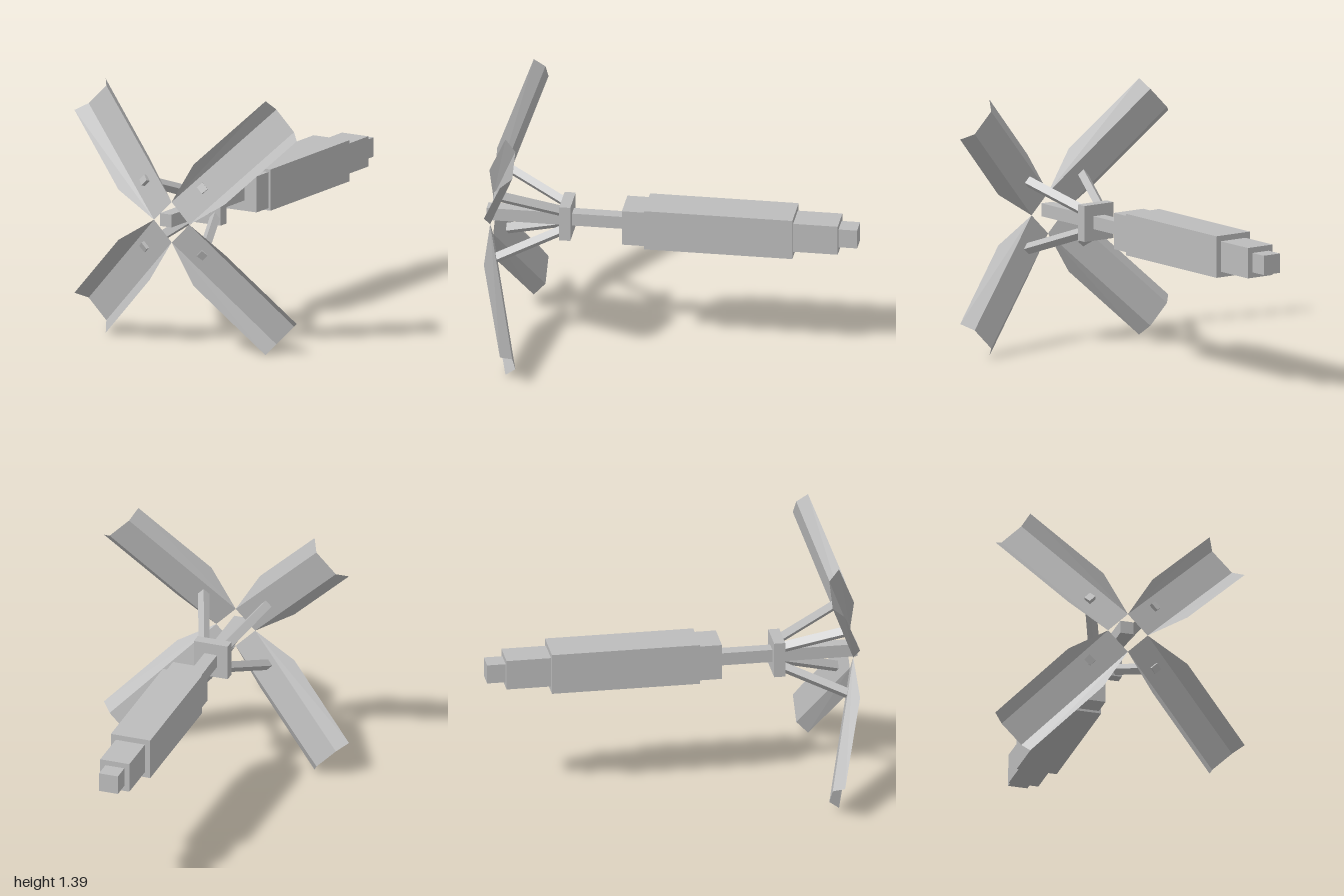
import * as THREE from 'three';

const grey = new THREE.MeshStandardMaterial({ color: 0xbcbcbc });
grey.name = 'grey';
const greySheet = new THREE.MeshStandardMaterial({ color: 0xbcbcbc, side: THREE.DoubleSide });
greySheet.name = 'greySheet';

// Axis-aligned box given by its extents [min, max] on each axis
function block(name, [x0, x1], [y0, y1], [z0, z1]) {
  const mesh = new THREE.Mesh(new THREE.BoxGeometry(x1 - x0, y1 - y0, z1 - z0), grey);
  mesh.position.set((x0 + x1) / 2, (y0 + y1) / 2, (z0 + z1) / 2);
  mesh.name = name;
  return mesh;
}

// Folded sheet pointing along local +x: a sloping panel with a raised flange on each side
function bladeGeometry() {
  const inner = s => [0.078, s * 0.078, 0.967];
  const knee = s => [0.332, s * 0.138, 0.967];
  const tip = s => [0.845, s * 0.138, 0.825];
  const fold = s => [0.83, s * 0.078, 0.767];
  const quads = [
    [inner(-1), fold(-1), fold(1), inner(1)],
    [inner(1), fold(1), tip(1), knee(1)],
    [inner(-1), knee(-1), tip(-1), fold(-1)],
  ];
  const points = quads.flatMap(([a, b, c, d]) => [a, b, c, a, c, d]).flat();
  const geometry = new THREE.BufferGeometry();
  geometry.setAttribute('position', new THREE.Float32BufferAttribute(points, 3));
  geometry.computeVertexNormals();
  return geometry;
}

export function createModel() {
  const model = new THREE.Group();
  model.name = 'foldingDish';

  // Stepped square body along z
  model.add(
    block('tailTip', [-0.057, 0.05], [0.67, 0.775], [-1, -0.9]),
    block('tailSection', [-0.085, 0.08], [0.64, 0.805], [-0.9, -0.66]),
    block('mainBody', [-0.115, 0.108], [0.61, 0.835], [-0.66, 0.14]),
    block('frontCollar', [-0.1, 0.095], [0.623, 0.82], [0.14, 0.26]),
    block('mast', [-0.052, 0.02], [0.68, 0.75], [0.26, 1]),
    block('strutHub', [-0.112, 0.08], [0.617, 0.812], [0.54, 0.6]),
  );

  // Four diagonal blades, each held by a strut from the hub
  const geometry = bladeGeometry();
  for (let i = 0; i < 4; i++) {
    const angle = Math.PI / 4 + i * Math.PI / 2;
    const blade = new THREE.Mesh(geometry, greySheet);
    blade.name = 'blade';
    blade.position.y = 0.7;
    blade.rotation.z = angle;
    model.add(blade);

    const run = 0.2, rise = 0.375;
    const bar = new THREE.Mesh(new THREE.BoxGeometry(0.04, 0.045, Math.hypot(run, rise)), grey);
    bar.name = 'strutBar';
    bar.position.set(0.062 + run / 2, 0, 0.557 + rise / 2);
    bar.rotation.y = Math.atan2(run, rise);
    const strut = new THREE.Group();
    strut.name = 'strut';
    strut.position.set(-0.016, 0.715, 0);
    strut.rotation.z = angle;
    strut.add(bar);
    model.add(strut);
  }
  return model;
}
